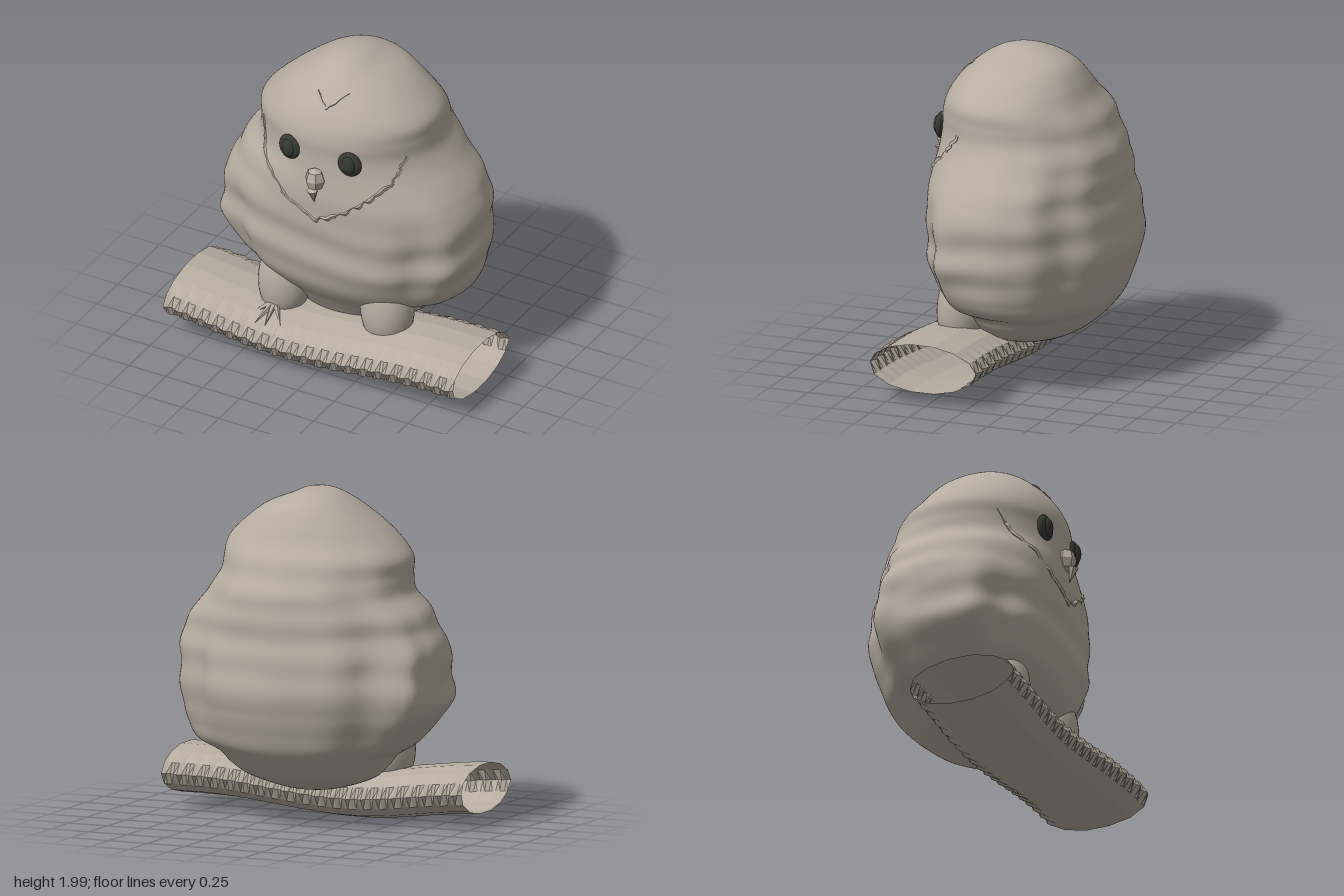
import * as THREE from 'three';

const TAU = Math.PI * 2;
const plumage = new THREE.MeshStandardMaterial({ color: 0xb6ac9f, side: THREE.DoubleSide });
plumage.name = 'warm grey plumage';
const dark = new THREE.MeshStandardMaterial({ color: 0x363931 });
dark.name = 'dark eye';

// Body outline: height, right half-width, left half-width, front z, back z
const OUTLINE = [
  [0.2, 0, 0, 0.02, 0.02], [0.21, 0.16, 0.16, 0.15, -0.14], [0.28, 0.38, 0.38, 0.26, -0.32],
  [0.36, 0.48, 0.49, 0.32, -0.43], [0.43, 0.54, 0.55, 0.37, -0.5], [0.5, 0.65, 0.7, 0.43, -0.55],
  [0.6, 0.74, 0.76, 0.49, -0.585], [0.7, 0.81, 0.79, 0.52, -0.615], [0.8, 0.835, 0.81, 0.53, -0.64],
  [0.95, 0.825, 0.81, 0.53, -0.63], [1.1, 0.82, 0.81, 0.54, -0.6], [1.2, 0.76, 0.77, 0.54, -0.585],
  [1.3, 0.72, 0.7, 0.53, -0.58], [1.4, 0.62, 0.62, 0.515, -0.57], [1.5, 0.6, 0.56, 0.505, -0.52],
  [1.6, 0.595, 0.545, 0.505, -0.48], [1.7, 0.515, 0.53, 0.475, -0.4], [1.8, 0.405, 0.43, 0.41, -0.345],
  [1.9, 0.27, 0.29, 0.305, -0.275], [1.96, 0.17, 0.14, 0.21, -0.17], [1.99, 0.09, 0.07, 0.13, -0.06],
  [2, 0, 0, 0.05, 0.05],
];

// Smooth interpolation of the outline rows
function outlineAt(t) {
  const last = OUTLINE.length - 1;
  const i = Math.min(Math.floor(t), last - 1), f = t - i;
  const row = (k) => OUTLINE[Math.max(0, Math.min(last, k))];
  return OUTLINE[0].map((_, c) => {
    const [a, b, d, e] = [row(i - 1)[c], row(i)[c], row(i + 1)[c], row(i + 2)[c]];
    return b + 0.5 * f * (d - a + f * (2 * a - 5 * b + 4 * d - e + f * (3 * (b - d) + e - a)));
  });
}

const bump = (v, centre, width) => Math.exp(-(((v - centre) / width) ** 2));
const roundness = (y) => 2 + 0.6 * bump(y, 0.85, 0.35);

// Point on the feathered body
function bodyPoint(t, angle) {
  const [y, wr, wl, zf, zb] = outlineAt(t);
  const s = Math.sin(angle), c = Math.cos(angle);
  const n = c > 0 ? roundness(y) : 2.1;
  const k = (Math.abs(s) ** n + Math.abs(c) ** n) ** (-1 / n);
  const turn = Math.abs(Math.atan2(s, c));
  const back = THREE.MathUtils.smoothstep(turn, 1.3, 2.2);
  const belly = (1 - back) * bump(y, 0.85, 0.3);
  const fade = bump(y, 1.2, 0.5);
  const wing = bump(y, 0.8, 0.27);
  // Belly and back ripples
  const ripples = 0.012 * belly * Math.sin((y - 0.72 + 0.04 * Math.sin(angle * 3)) * TAU / 0.24)
    + 0.009 * back * fade * Math.sin(y * TAU / 0.2)
    + 0.01 * back * bump(y, 1, 0.6) * Math.cos(angle * 12)
    + 0.008 * fade * (1 - belly) * Math.sin(angle * 5 + y * 9) * THREE.MathUtils.smoothstep(turn, 0.7, 1.2);
  // Wing edges, and the hollows behind the wings
  const wings = wing * (0.035 * bump(turn, 1.0, 0.16) - 0.065 * bump(turn, 0.78, 0.17))
    - 0.07 * bump(turn, 2.35, 0.26) * bump(y, 0.9, 0.45)
    + (s < 0 ? 0.08 : 0) * bump(turn, 2.05, 0.16) * bump(y, 0.88, 0.28);
  const fold = 1 + ripples + wings;
  const zc = (zf + zb) / 2;
  return [s * k * fold * (s < 0 ? wr : wl), y, zc + c * k * fold * (zf - zb) / 2];
}

// Front surface depth of the body at a given x and y
function frontZ(x, y) {
  let lo = 0, hi = OUTLINE.length - 1;
  for (let i = 0; i < 30; i++) {
    const mid = (lo + hi) / 2;
    if (outlineAt(mid)[0] < y) lo = mid; else hi = mid;
  }
  const [, wr, wl, zf, zb] = outlineAt(lo);
  const n = roundness(y), u = Math.min(0.999, Math.abs(x) / (x < 0 ? wr : wl));
  return (zf + zb) / 2 + (1 - u ** n) ** (1 / n) * (zf - zb) / 2;
}

// Skin of rings that close on themselves
function loft(rows, sides, point) {
  const pos = [], index = [];
  for (let i = 0; i <= rows; i++) {
    for (let j = 0; j < sides; j++) {
      pos.push(...point(i / rows, (j / sides) * TAU));
      if (i === rows) continue;
      const a = i * sides + j, b = i * sides + (j + 1) % sides;
      index.push(a, b, b + sides, a, b + sides, a + sides);
    }
  }
  const geo = new THREE.BufferGeometry();
  geo.setAttribute('position', new THREE.Float32BufferAttribute(pos, 3));
  geo.setIndex(index);
  geo.computeVertexNormals();
  return geo;
}

function faceted(geo) {
  const flat = geo.toNonIndexed();
  flat.computeVertexNormals();
  return flat;
}

export function createModel() {
  const model = new THREE.Group();
  model.name = 'chickOnBranch';
  const add = (name, geo, mat, p = [0, 0, 0], s = [1, 1, 1], r = [0, 0, 0], parent = model) => {
    const mesh = new THREE.Mesh(geo, mat);
    mesh.name = name;
    mesh.position.set(...p);
    mesh.scale.set(...s);
    mesh.rotation.set(...r);
    parent.add(mesh);
    return mesh;
  };

  // Fluffy body and head in one skin
  add('body', loft(150, 128, (v, a) => bodyPoint(v * (OUTLINE.length - 1), a)), plumage);

  // Flattened hollow branch, sagging right of the middle, with ridged bark
  const branch = loft(78, 14, (v, a) => {
    const x = -0.978 + 1.953 * v, d = x + 0.2;
    const lift = (1 - Math.cos(Math.PI * Math.min(1, Math.abs(d) / (d < 0 ? 0.85 : 1.0)))) / 2;
    const c = Math.cos(a), s = Math.sin(a);
    const ridge = 1 + 0.035 * c ** 2 * Math.sin(x * TAU / 0.1 + 3 * a);
    return [x, 0.154 + 0.072 * lift + 0.148 * s, 0.285 + 0.338 * c * ridge];
  });
  add('branch', faceted(branch), plumage);

  // Feathery ridges: a collar under the face and a small crest mark
  let seed = 7;
  const jitter = (amount) => {
    seed = (seed * 16807) % 2147483647;
    return (seed / 2147483647 - 0.5) * amount;
  };
  const ridge = (name, corners, steps, radius) => {
    const points = [];
    for (let i = 0; i < corners.length - 1; i++) {
      for (let k = 0; k < steps; k++) {
        const f = k / steps;
        const x = THREE.MathUtils.lerp(corners[i][0], corners[i + 1][0], f) + jitter(radius);
        const y = THREE.MathUtils.lerp(corners[i][1], corners[i + 1][1], f) + jitter(radius);
        points.push(new THREE.Vector3(x, y, frontZ(x, y) - radius * 0.4 + jitter(radius)));
      }
    }
    const path = new THREE.CatmullRomCurve3(points);
    add(name, faceted(new THREE.TubeGeometry(path, points.length * 2, radius, 4)), plumage);
  };
  ridge('faceCollar', [[-0.47, 1.54], [-0.43, 1.38], [-0.2, 1.18], [0, 1.08], [0.2, 1.18], [0.43, 1.37], [0.47, 1.54]], 9, 0.014);
  ridge('crestMark', [[-0.09, 1.85], [0, 1.79], [0.13, 1.89]], 6, 0.011);

  const ball = new THREE.SphereGeometry(1, 32, 20);
  const toe = faceted(new THREE.ConeGeometry(0.026, 1, 5));
  const up = new THREE.Vector3(0, 1, 0);
  for (const side of [-1, 1]) {
    const label = side < 0 ? 'right' : 'left';

    // Eye rim with a raised oval pupil
    const ex = side * 0.203;
    add(label + 'EyeRim', ball, dark, [ex, 1.5, 0.482], [0.075, 0.08, 0.03], [0, side * 0.12, 0]);
    add(label + 'Pupil', ball, dark, [ex, 1.5, 0.497], [0.045, 0.06, 0.03], [0, side * 0.12, 0]);

    // Downy thigh blending up into the belly
    add(label + 'Leg', ball, plumage, [side * 0.345, 0.45, 0.28], [0.165, 0.265, 0.155], [-0.1, 0, side * 0.05]);

    // Toes spreading over the branch
    const foot = new THREE.Group();
    foot.name = label + 'Foot';
    foot.position.y = side < 0 ? 0 : -0.045;
    model.add(foot);
    const heel = new THREE.Vector3(side * 0.36, 0.32, 0.38);
    for (const [dx, dy, dz] of [[-0.11, -0.06, 0.14], [-0.03, -0.06, 0.2], [0.04, -0.06, 0.2], [0.12, -0.06, 0.15]]) {
      const reach = new THREE.Vector3(dx, dy, dz);
      const mesh = add('toe', toe, plumage, [0, 0, 0], [1, reach.length(), 1], [0, 0, 0], foot);
      mesh.position.copy(heel).addScaledVector(reach, 0.5);
      mesh.quaternion.setFromUnitVectors(up, reach.normalize());
    }
  }

  // Beak: faceted knob above a hooked tip
  add('beakTop', faceted(new THREE.SphereGeometry(1, 6, 4)), plumage, [-0.005, 1.36, 0.53], [0.064, 0.075, 0.06]);
  add('beakTip', faceted(new THREE.ConeGeometry(0.034, 0.1, 6)), plumage, [0, 1.26, 0.56], [1, 1, 1], [Math.PI + 0.25, 0, 0]);

  return model;
}
